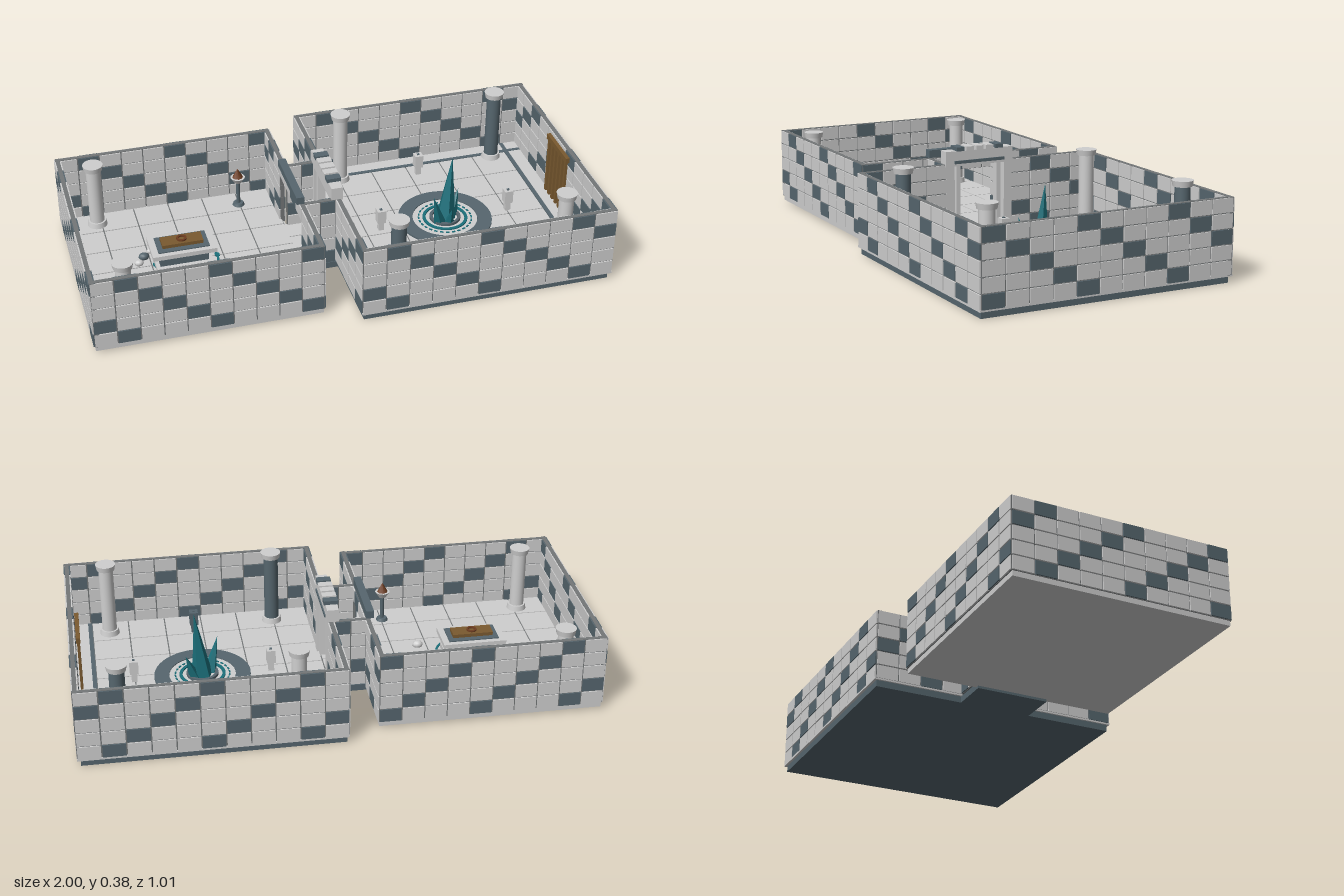
import * as THREE from 'three';
import { mergeGeometries } from 'three/addons/utils/BufferGeometryUtils.js';

const material = (name, color) => {
  const m = new THREE.MeshStandardMaterial({ color });
  m.name = name;
  return m;
};

export function createModel() {
  const stone = material('pale stone', 0xcfcfcf);
  const slate = material('slate', 0x56666e);
  const mortar = material('mortar', 0x747778);
  const teal = material('teal crystal', 0x1b6f7a);
  teal.flatShading = true;
  const wood = material('brown wood', 0x7a5a30);
  const ember = material('ember brown', 0x6e3d20);

  const model = new THREE.Group();
  model.name = 'dungeonRooms';

  const boxGeo = (w, h, d, x, y, z) => new THREE.BoxGeometry(w, h, d).translate(x, y, z);
  const add = (parent, name, geo, mat, x = 0, y = 0, z = 0) => {
    const mesh = new THREE.Mesh(geo, mat);
    mesh.name = name;
    mesh.position.set(x, y, z);
    parent.add(mesh);
    return mesh;
  };
  const box = (parent, name, mat, w, h, d, x, y, z) => add(parent, name, new THREE.BoxGeometry(w, h, d), mat, x, y, z);
  const cyl = (parent, name, mat, r0, r1, h, x, y, z, sides = 24) =>
    add(parent, name, new THREE.CylinderGeometry(r1, r0, h, sides), mat, x, y, z);
  const group = (parent, name, x = 0, y = 0, z = 0) => {
    const g = new THREE.Group();
    g.name = name;
    g.position.set(x, y, z);
    parent.add(g);
    return g;
  };
  const addMerged = (parent, name, list, mat) => list.length && add(parent, name, mergeGeometries(list), mat);

  // Brick wall along local x; slate bricks step down the wall in diagonals
  const ROWS = 5, BOTTOM = 0.03, ROW_H = 0.057;
  function brickWall(parent, name, length, cols, phase, x, z, turned, open = () => false) {
    const wall = group(parent, name, x, 0, z);
    if (turned) wall.rotation.y = Math.PI / 2;
    const pale = [], dark = [], filler = [], w = length / cols;
    for (let c = 0; c < cols; c++) for (let r = 0; r < ROWS; r++) {
      const px = (c + 0.5) * w - length / 2;
      if (open(px, r)) continue;
      const py = BOTTOM + (ROWS - r - 0.5) * ROW_H;
      const isDark = (c - r - phase + 40) % 4 === 0;
      (isDark ? dark : pale).push(boxGeo(w - 0.005, ROW_H - 0.005, 0.026, px, py, 0));
      filler.push(boxGeo(w, ROW_H - 0.001, 0.016, px, py, 0));
    }
    addMerged(wall, name + 'PaleBricks', pale, stone);
    addMerged(wall, name + 'SlateBricks', dark, slate);
    addMerged(wall, name + 'Mortar', filler, mortar);
  }

  // Paved floor: mortar bed with raised square slabs
  function pavedFloor(parent, x0, x1, z0, z1, nx, nz) {
    box(parent, 'floorBed', mortar, x1 - x0, 0.006, z1 - z0, (x0 + x1) / 2, 0.035, (z0 + z1) / 2);
    const slabs = [], w = (x1 - x0) / nx, d = (z1 - z0) / nz;
    for (let i = 0; i < nx; i++) for (let j = 0; j < nz; j++)
      slabs.push(boxGeo(w - 0.005, 0.008, d - 0.005, x0 + (i + 0.5) * w, 0.037, z0 + (j + 0.5) * d));
    addMerged(parent, 'floorSlabs', slabs, stone);
  }

  function pillar(parent, shaftMat, x, z, top) {
    const p = group(parent, 'pillar', x, 0, z);
    cyl(p, 'pillarFoot', stone, 0.04, 0.036, 0.025, 0, 0.05, 0);
    cyl(p, 'pillarShaft', shaftMat, 0.029, 0.029, top - 0.05, 0, top / 2 + 0.015, 0);
    cyl(p, 'pillarCap', stone, 0.036, 0.04, 0.022, 0, top - 0.011, 0);
  }

  const flatRing = (parent, name, mat, inner, outer, x, y, z, h = 0.006) => {
    const shape = new THREE.Shape().absarc(0, 0, outer, 0, Math.PI * 2);
    shape.holes.push(new THREE.Path().absarc(0, 0, inner, 0, Math.PI * 2, true));
    const geo = new THREE.ExtrudeGeometry(shape, { depth: h, bevelEnabled: false, curveSegments: 32 });
    return add(parent, name, geo.rotateX(-Math.PI / 2), mat, x, y, z);
  };

  // ---- Large room ----
  const large = group(model, 'largeRoom');
  box(large, 'largeBase', slate, 0.98, 0.026, 0.99, 0.492, 0.013, 0);
  box(large, 'largeLip', stone, 1.0, 0.008, 1.01, 0.495, 0.03, 0);
  pavedFloor(large, 0.01, 0.9, -0.41, 0.48, 6, 6);
  box(large, 'rearBorder', stone, 0.96, 0.008, 0.055, 0.49, 0.037, -0.455);
  box(large, 'sideBorder', stone, 0.055, 0.008, 0.9, 0.945, 0.037, 0.03);
  box(large, 'rearGroove', slate, 0.97, 0.01, 0.016, 0.49, 0.037, -0.418);
  box(large, 'sideGroove', slate, 0.016, 0.01, 0.96, 0.908, 0.037, 0);
  for (const z of [0.492, -0.492])
    brickWall(large, z > 0 ? 'largeFrontWall' : 'largeBackWall', 1.0, 11, 1, 0.495, z, false);
  brickWall(large, 'largeLeftWall', 1.0, 11, 0, 0.983, 0, true);
  brickWall(large, 'largeGateWall', 1.0, 11, 0, 0.005, 0, true, (p) => Math.abs(p) < 0.13);
  for (const [x, z] of [[0.165, -0.395], [0.83, -0.395], [0.165, 0.393], [0.83, 0.393]])
    pillar(large, (x > 0.5) === (z < 0) ? slate : stone, x, z, 0.355);

  // Ritual circle with leaning crystal shards
  const circle = group(large, 'crystalCircle', 0.49, 0, 0);
  flatRing(circle, 'outerRing', slate, 0.13, 0.188, 0, 0.04, 0, 0.009);
  cyl(circle, 'innerDisc', stone, 0.13, 0.13, 0.006, 0, 0.043, 0, 32);
  const dashes = [];
  for (let i = 0; i < 28; i++)
    dashes.push(boxGeo(0.013, 0.003, 0.006, 0, 0.0475, 0.106).rotateY((i / 28) * Math.PI * 2));
  addMerged(circle, 'dashedRing', dashes, teal);
  flatRing(circle, 'middleRing', teal, 0.078, 0.09, 0, 0.045, 0, 0.006);
  flatRing(circle, 'shardRim', slate, 0.05, 0.062, 0, 0.045, 0, 0.012);
  for (const [r, h, x, z, tx, tz] of [
    [0.042, 0.28, 0.0, 0.0, -0.04, -0.09], [0.028, 0.15, -0.03, 0.02, 0.2, 0.25],
    [0.026, 0.12, 0.03, -0.015, -0.2, -0.3], [0.022, 0.09, 0.005, 0.035, 0.35, 0]]) {
    const geo = new THREE.ConeGeometry(r, h, 5).translate(0, h / 2, 0);
    add(circle, 'crystalShard', geo, teal, x, 0.04, z).rotation.set(tx, 0, tz);
  }

  // Four small marker posts around the circle
  for (const [x, z] of [[0.49, -0.35], [0.22, 0], [0.755, 0], [0.49, 0.35]]) {
    const post = group(large, 'markerPost', x, 0, z);
    const mat = z > 0 ? slate : stone;
    box(post, 'markerStem', mat, 0.022, 0.04, 0.022, 0, 0.06, 0);
    box(post, 'markerBlock', mat, 0.034, 0.055, 0.034, 0, 0.105, 0);
    box(post, 'markerStud', slate, 0.01, 0.004, 0.01, 0, 0.134, 0);
  }

  // Barred wooden gate against the far wall
  const bars = group(large, 'barredGate', 0.958, 0, 0);
  box(bars, 'gateHead', wood, 0.016, 0.022, 0.2, 0, 0.295, 0);
  for (let i = 0; i < 6; i++) box(bars, 'gateBar', wood, 0.01, 0.24, 0.014, 0, 0.165, -0.085 + i * 0.034);

  // ---- Small room ----
  const small = group(model, 'smallRoom');
  box(small, 'smallBase', stone, 0.86, 0.02, 0.85, -0.562, 0.02, 0);
  pavedFloor(small, -0.985, -0.14, -0.42, 0.42, 6, 6);
  for (const z of [0.418, -0.42])
    brickWall(small, z > 0 ? 'smallFrontWall' : 'smallBackWall', 0.865, 10, 1, -0.563, z, false);
  brickWall(small, 'smallRightWall', 0.86, 10, 0, -0.986, 0, true);
  brickWall(small, 'smallGateWall', 0.86, 10, 0, -0.138, 0, true, (p, r) => Math.abs(p) < 0.13 && r > 0);
  for (const z of [-0.34, 0.335]) pillar(small, stone, -0.86, z, 0.32);

  // Altar with a wooden tablet, standing in a teal ring
  const altar = group(small, 'altar', -0.583, 0, 0);
  box(altar, 'altarFoot', stone, 0.22, 0.025, 0.13, 0, 0.052, 0);
  box(altar, 'altarBody', slate, 0.19, 0.06, 0.1, 0, 0.09, 0);
  box(altar, 'altarTop', stone, 0.25, 0.018, 0.145, 0, 0.118, 0);
  box(altar, 'altarInset', slate, 0.2, 0.004, 0.105, 0, 0.129, 0);
  box(altar, 'tablet', wood, 0.16, 0.014, 0.06, 0, 0.138, 0);
  flatRing(altar, 'tabletRing', ember, 0.012, 0.02, 0, 0.145, 0, 0.006);
  flatRing(small, 'floorRing', teal, 0.118, 0.127, -0.568, 0.04, 0, 0.004);
  for (let i = 0; i < 4; i++) {
    const a = (i * Math.PI) / 2;
    box(small, 'ringTick', teal, 0.018, 0.005, 0.018, -0.568 + Math.cos(a) * 0.122, 0.0425, Math.sin(a) * 0.122);
  }
  for (const [x, z, r, mat] of [[-0.725, -0.055, 0.021, slate], [-0.75, -0.018, 0.018, stone],
    [-0.695, -0.085, 0.014, stone], [-0.385, 0.083, 0.021, stone]])
    add(small, 'rubble', new THREE.SphereGeometry(r, 10, 8).scale(1, 0.75, 0.8), mat, x, 0.05, z);

  // Standing braziers beside the gate
  for (const z of [-0.325, 0.322]) {
    const b = group(small, 'brazier', -0.285, 0, z);
    cyl(b, 'brazierFoot', slate, 0.025, 0.02, 0.012, 0, 0.046, 0, 12);
    cyl(b, 'brazierStem', slate, 0.008, 0.008, 0.11, 0, 0.1, 0, 8);
    cyl(b, 'brazierBowl', stone, 0.014, 0.03, 0.025, 0, 0.16, 0, 12);
    add(b, 'brazierFlame', new THREE.ConeGeometry(0.022, 0.04, 8), ember, 0, 0.192, 0);
  }

  // ---- Passage joining the rooms ----
  const passage = group(model, 'passage');
  box(passage, 'passageBase', slate, 0.16, 0.026, 0.29, -0.07, 0.013, 0);
  pavedFloor(passage, -0.145, 0.01, -0.135, 0.135, 1, 3);
  for (const z of [-0.138, 0.138])
    brickWall(passage, z > 0 ? 'passageFrontWall' : 'passageBackWall', 0.12, 2, 1, -0.07, z, false);
  box(passage, 'darkLintel', slate, 0.03, 0.03, 0.285, -0.146, 0.331, 0);

  // Crenellated gatehouse on the large room's side
  const gate = group(passage, 'gatehouse', -0.002, 0, 0);
  box(gate, 'gateLintel', stone, 0.045, 0.06, 0.29, 0, 0.335, 0);
  box(gate, 'gateTrim', slate, 0.006, 0.012, 0.215, 0.024, 0.321, 0);
  for (const s of [-1, 1]) {
    box(gate, 'gateJamb', stone, 0.045, 0.275, 0.035, 0, 0.17, s * 0.125);
    box(gate, 'gatePilaster', stone, 0.03, 0.275, 0.018, 0, 0.17, s * 0.088);
  }
  for (let i = -2; i <= 2; i++)
    box(gate, 'merlon', Math.abs(i) === 2 ? slate : stone, 0.055, 0.016, 0.032, 0, 0.372, i * 0.042);

  return model;
}
